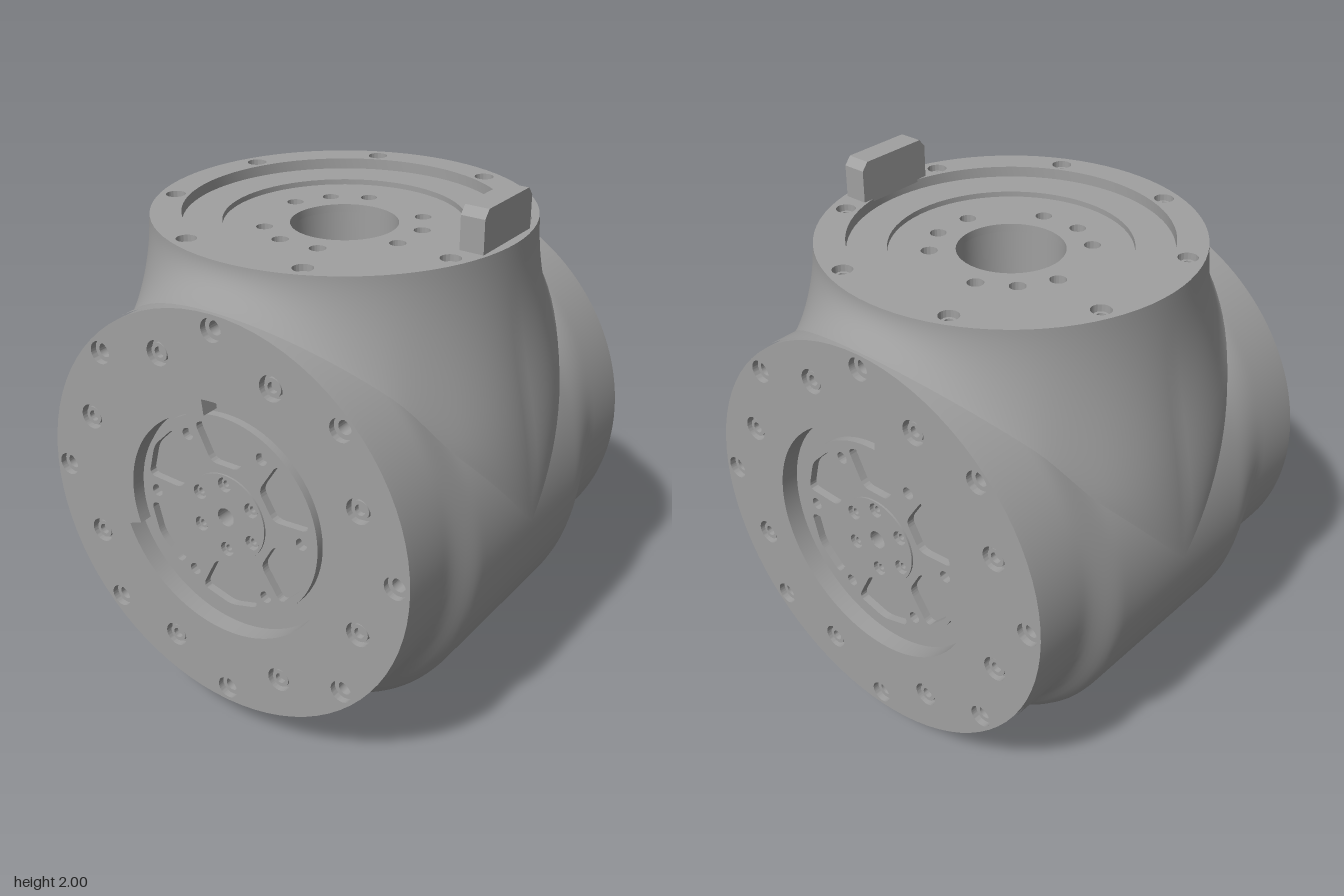
import * as THREE from 'three';
import { toCreasedNormals } from 'three/addons/utils/BufferGeometryUtils.js';

const { cos, sin, PI, sqrt, abs } = Math;
const rad = (d) => (d * PI) / 180;
const lerp = THREE.MathUtils.lerp;
const metal = new THREE.MeshStandardMaterial({ color: 0xa0a0a0 });
metal.name = 'housing grey';

const AXIS_Y = 0.92, TOP_Y = 1.85, END_Z = 0.76;

function add(parent, name, geo, x = 0, y = 0, z = 0) {
  const m = new THREE.Mesh(geo, metal);
  m.name = name;
  m.position.set(x, y, z);
  parent.add(m);
  return m;
}

// Lathe turned so that its axis is local z; points are [radius, z], outer to inner faces +z
function turned(points, segs = 64) {
  const g = new THREE.LatheGeometry(points.map((p) => new THREE.Vector2(p[0], p[1])), segs);
  g.rotateX(PI / 2);
  return toCreasedNormals(g, 0.5);
}

// Extruded plate whose front sits at local z = 0
function plate(shape, depth) {
  const g = new THREE.ExtrudeGeometry(shape, { depth, bevelEnabled: false, curveSegments: 40 });
  g.translate(0, 0, -depth);
  return toCreasedNormals(g, 0.5);
}

const circle = (Type, x, y, r) => new Type().absarc(x, y, r, 0, PI * 2, false);
const hole = (shape, x, y, r) => shape.holes.push(circle(THREE.Path, x, y, r));
const ringPoints = (count, r, startDeg) => Array.from({ length: count }, (_, i) => {
  const a = rad(startDeg + (360 / count) * i);
  return [r * cos(a), r * sin(a)];
});

// Closed outline with softened corners
function roundedPath(pts, k = 0.22) {
  const path = new THREE.Path();
  const n = pts.length;
  pts.forEach((p, i) => {
    const a = pts[(i + n - 1) % n], b = pts[(i + 1) % n];
    const s = [lerp(p[0], a[0], k), lerp(p[1], a[1], k)];
    if (i) path.lineTo(s[0], s[1]); else path.moveTo(s[0], s[1]);
    path.quadraticCurveTo(p[0], p[1], lerp(p[0], b[0], k), lerp(p[1], b[1], k));
  });
  path.closePath();
  return path;
}

// Grid of points turned into a smooth surface, closed around the columns
function loft(rows, cols, pointAt, keep = () => true) {
  const pos = [], index = [];
  for (let i = 0; i <= rows; i++) for (let j = 0; j < cols; j++) pos.push(...pointAt(i / rows, j / cols));
  for (let i = 0; i < rows; i++) for (let j = 0; j < cols; j++) {
    const a = i * cols + j, b = i * cols + ((j + 1) % cols), c = a + cols, d = b + cols;
    if (keep(pos[a * 3], pos[a * 3 + 1], pos[a * 3 + 2])) index.push(a, b, c, b, d, c);
  }
  const g = new THREE.BufferGeometry();
  g.setAttribute('position', new THREE.Float32BufferAttribute(pos, 3));
  g.setIndex(index);
  g.computeVertexNormals();
  return g;
}

// Barrel section at z: end flanges around the axis, a lower and wider belly between
function section(z) {
  const t = 1 - THREE.MathUtils.smoothstep(abs(z), 0.36, 0.55);
  return { cy: lerp(AXIS_Y, 0.818, t), r: lerp(0.783, 0.817, t) };
}

function barrelGeometry() {
  return loft(64, 128, (u, v) => {
    const z = lerp(-0.756, 0.756, u), { cy, r } = section(z), a = v * PI * 2;
    return [r * cos(a), cy + r * sin(a), z];
  }, (x, y, z) => y < 1 || x * x + z * z > 0.25); // open below the neck
}

// Neck flaring from the round top down onto the barrel
function neckGeometry() {
  return loft(24, 128, (u, v) => {
    const a = v * PI * 2, c = cos(a), s = sin(a), k = c * c;
    const bz = 0.754 * s, { cy, r } = section(bz), bx = 0.817 * c;
    const by = cy + sqrt(Math.max(0, r * r - bx * bx));
    const drop = TOP_Y - by, f = 0.4 - 0.28 * sin(2 * a) ** 2;
    const rx = 0.69 * c, rz = 0.69 * s, m = lerp(0.5, 1, k);
    const curve = new THREE.CubicBezierCurve3(
      new THREE.Vector3(rx, TOP_Y, rz),
      new THREE.Vector3(rx, TOP_Y - drop * 0.4, rz),
      new THREE.Vector3(lerp(rx, bx, m), by + drop * f, lerp(rz, bz, m)),
      new THREE.Vector3(bx, by, bz));
    return curve.getPoint(u).toArray();
  });
}

// Socket screw sunk in a pocket, and a counterbored through hole
const screwGeo = turned([[0.048, -0.03], [0.034, -0.03], [0.034, -0.01], [0.02, -0.01], [0.02, -0.03], [0, -0.03]], 20);
const boreGeo = turned([[0.044, -0.025], [0.026, -0.025], [0.026, -0.1]], 20);

function endFace(name, raisedFrom) {
  const g = new THREE.Group();
  g.name = name;

  // Outer plate with stepped opening
  const disc = circle(THREE.Shape, 0, 0, 0.777);
  const opening = new THREE.Path();
  opening.absarc(0, 0, 0.46, rad(raisedFrom + 103), rad(raisedFrom + 360), false);
  opening.absarc(0, 0, 0.4, rad(raisedFrom), rad(raisedFrom + 103), false);
  opening.closePath();
  disc.holes.push(opening);
  const screws = ringPoints(8, 0.625, 22.5), bores = ringPoints(8, 0.72, 0);
  for (const [x, y] of screws) { hole(disc, x, y, 0.047); add(g, 'plateScrew', screwGeo, x, y); }
  for (const [x, y] of bores) { hole(disc, x, y, 0.043); add(g, 'plateBore', boreGeo, x, y); }
  add(g, 'endPlate', plate(disc, 0.1));
  add(g, 'recessFloor', turned([[0.48, -0.07], [0.036, -0.07]]));

  // Six-window wheel
  const wheel = circle(THREE.Shape, 0, 0, 0.387);
  const corners = [[-0.06, 0.2], [0.06, 0.2], [0.128, 0.335], [0, 0.37], [-0.128, 0.335]];
  for (let i = 0; i < 6; i++) {
    const a = i * PI / 3;
    wheel.holes.push(roundedPath(corners.map(([x, y]) => [x * cos(a) - y * sin(a), x * sin(a) + y * cos(a)])));
  }
  for (const [x, y] of ringPoints(6, 0.32, 0)) hole(wheel, x, y, 0.023);
  hole(wheel, 0, 0, 0.16);
  add(g, 'wheel', plate(wheel, 0.03), 0, 0, -0.04);

  // Hub with six screws
  const hub = circle(THREE.Shape, 0, 0, 0.168);
  hole(hub, 0, 0, 0.035);
  for (const [x, y] of ringPoints(6, 0.13, 30)) {
    hole(hub, x, y, 0.028);
    add(g, 'hubScrew', screwGeo, x, y, -0.036).scale.set(0.6, 0.6, 0.8);
  }
  add(g, 'hub', plate(hub, 0.035), 0, 0, -0.033);
  g.position.set(0, AXIS_Y, END_Z);
  return g;
}

function topFace() {
  const g = new THREE.Group();
  g.name = 'topFlange';

  // Bolted rim and lower shelf
  const rim = circle(THREE.Shape, 0, 0, 0.688);
  hole(rim, 0, 0, 0.577);
  for (const [x, y] of ringPoints(8, 0.628, 22.5)) {
    hole(rim, x, y, 0.036);
    add(g, 'rimScrew', screwGeo, x, y, -0.01).scale.set(0.77, 0.77, 1);
  }
  add(g, 'topRim', plate(rim, 0.05));
  add(g, 'topShelf', turned([[0.58, -0.04], [0.435, -0.04], [0.435, -0.07]]));

  // Inner ring with pin holes
  const inner = circle(THREE.Shape, 0, 0, 0.435);
  hole(inner, 0, 0, 0.195);
  for (const d of [16, 45, 106, 135, 164, 225, 254, 286, 344]) hole(inner, 0.288 * cos(rad(d)), 0.288 * sin(rad(d)), 0.03);
  add(g, 'innerRing', plate(inner, 0.03), 0, 0, -0.06);

  // Central well with crossbars and pin
  add(g, 'well', turned([[0.435, -0.09], [0.196, -0.09], [0.196, -0.6], [0, -0.6]]));
  for (const s of [-1, 1]) add(g, 'wellBar', new THREE.BoxGeometry(0.38, 0.025, 0.1), 0, s * 0.045, -0.3);
  add(g, 'wellLink', new THREE.BoxGeometry(0.36, 0.065, 0.06), 0, 0, -0.36);
  add(g, 'wellPin', new THREE.CylinderGeometry(0.04, 0.04, 0.2, 24), 0, 0, -0.33);

  g.rotation.x = -PI / 2;
  g.position.y = TOP_Y;
  return g;
}

export function createModel() {
  const model = new THREE.Group();
  model.name = 'jointHousing';
  add(model, 'barrel', barrelGeometry());
  add(model, 'neck', neckGeometry());

  const back = endFace('backFace', -20);
  back.rotation.y = PI;
  back.position.z = -END_Z;
  model.add(endFace('frontFace', 97), back, topFace());

  // Bore running through the hubs
  add(model, 'axleBore', turned([[0.035, 0.72], [0.035, -0.72]], 24), 0, AXIS_Y, 0);

  // Locating tab on the rim
  const tab = new THREE.Shape();
  [[-0.16, 0], [0.16, 0], [0.16, 0.13], [0.135, 0.16], [-0.135, 0.16], [-0.16, 0.13]]
    .forEach(([x, y], i) => (i ? tab.lineTo(x, y) : tab.moveTo(x, y)));
  add(model, 'locatingTab', plate(tab, 0.09), 0.655, 1.84, 0).rotation.y = PI / 2;

  // Thin cover under the belly
  add(model, 'bellyCover', new THREE.CylinderGeometry(0.82, 0.82, 0.38, 16, 1, true, -0.19, 0.38), 0, 0.82, 0)
    .rotation.x = PI / 2;
  return model;
}
